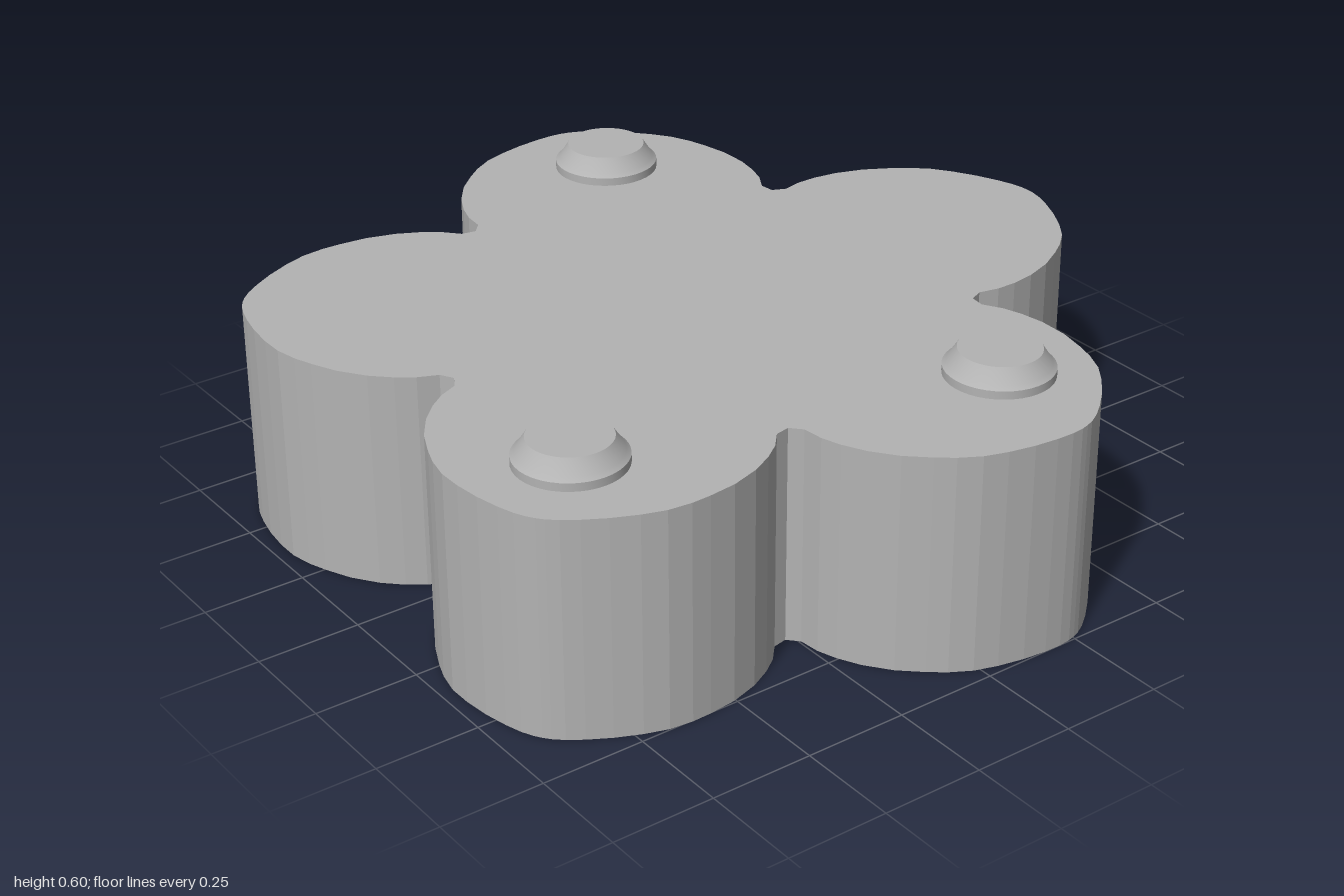
import * as THREE from 'three';
import { toCreasedNormals } from 'three/addons/utils/BufferGeometryUtils.js';

const HEIGHT = 0.537;
const CENTRE_Z = 0.068;

// Half of one petal, from the notch to the tip: [sideways, outwards]
const HALF_PETAL = [
  [0.383, 0.527], [0.368, 0.56], [0.379, 0.61], [0.379, 0.66], [0.37, 0.72], [0.346, 0.79],
  [0.312, 0.85], [0.285, 0.89], [0.247, 0.932], [0.2, 0.966], [0.144, 0.998],
  [0.09, 1.022], [0.05, 1.036], [0.02, 1.042],
];

// Five mirrored petals around the centre
function flowerOutline() {
  const petal = [
    ...HALF_PETAL.map(([x, d]) => [-x, d]),
    [0, 1.043],
    ...HALF_PETAL.slice(1).reverse(),
  ];
  const points = [];
  for (let i = 0; i < 5; i++) {
    const a = (i * Math.PI * 2) / 5;
    const c = Math.cos(a), s = Math.sin(a);
    for (const [x, d] of petal) {
      points.push(new THREE.Vector2(x * c + d * s, d * c - x * s - CENTRE_Z));
    }
  }
  return new THREE.Shape(points);
}

export function createModel() {
  const model = new THREE.Group();
  const grey = new THREE.MeshStandardMaterial({ color: 0xb3b3b3 });
  grey.name = 'grey';

  // Thick flower-shaped slab
  const slab = new THREE.ExtrudeGeometry(flowerOutline(), { depth: HEIGHT, bevelEnabled: false });
  slab.rotateX(-Math.PI / 2);
  const body = new THREE.Mesh(slab, grey);
  body.name = 'flowerBody';
  model.add(body);

  // Three low studs with a rim and a tapered cap
  const profile = [
    [0.128, -0.01], [0.128, 0.02], [0.118, 0.029], [0.096, 0.063], [0, 0.063],
  ].map(([r, y]) => new THREE.Vector2(r, y));
  const studGeometry = toCreasedNormals(new THREE.LatheGeometry(profile, 40), 0.4);
  [[-0.757, -0.213], [0.697, -0.262], [0.463, 0.723]].forEach(([x, z], i) => {
    const stud = new THREE.Mesh(studGeometry, grey);
    stud.name = `stud${i + 1}`;
    stud.position.set(x, HEIGHT, z);
    model.add(stud);
  });

  return model;
}
